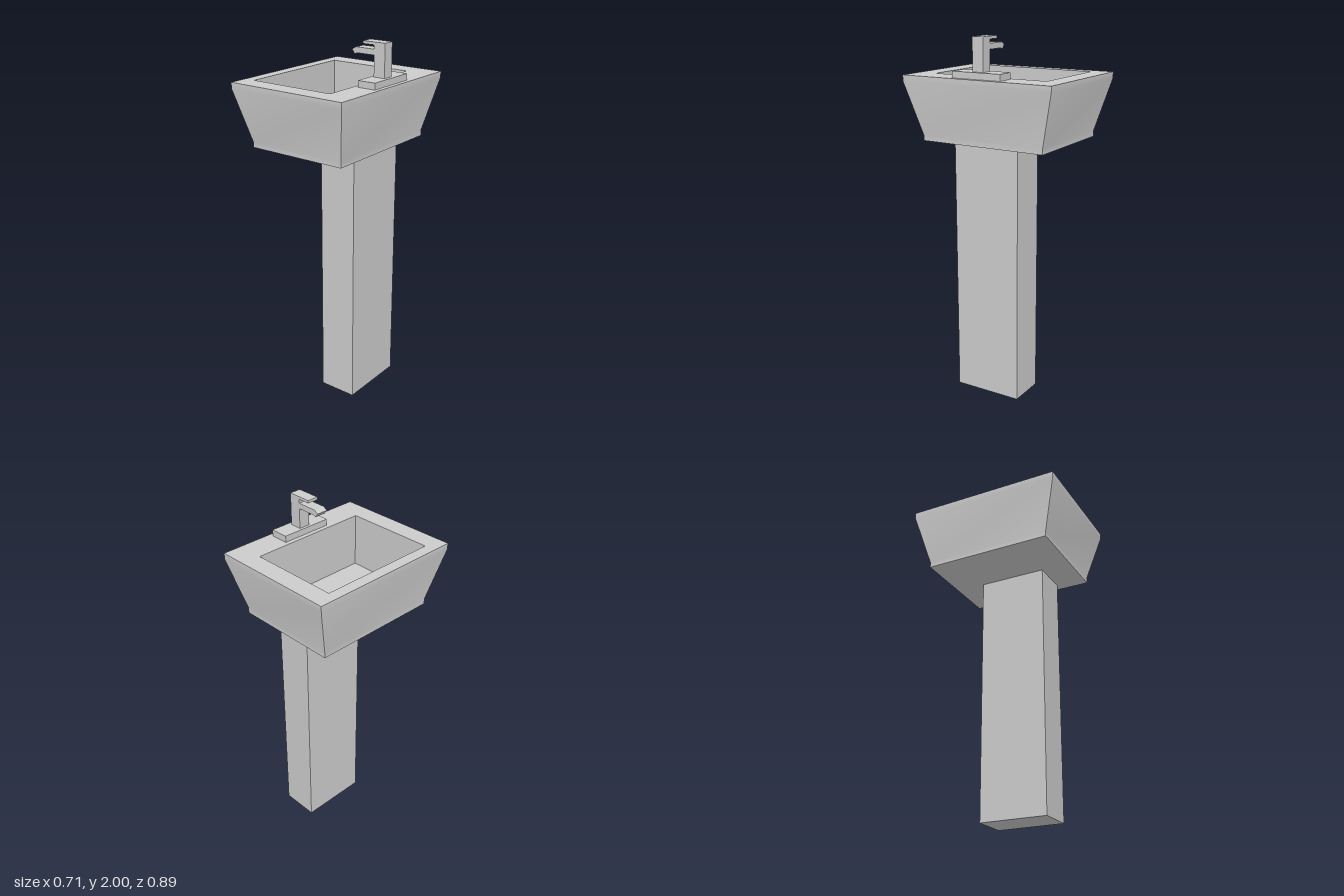
import * as THREE from 'three';
import { toCreasedNormals } from 'three/addons/utils/BufferGeometryUtils.js';

const material = new THREE.MeshStandardMaterial({ color: 0xcccccc });

function addMesh(group, name, geometry) {
  const mesh = new THREE.Mesh(geometry, material);
  mesh.name = name;
  group.add(mesh);
}

// Box given by its limits on each axis
function boxBetween(x0, x1, y0, y1, z0, z1) {
  return new THREE.BoxGeometry(x1 - x0, y1 - y0, z1 - z0)
    .translate((x0 + x1) / 2, (y0 + y1) / 2, (z0 + z1) / 2);
}

// Skin through rectangular rings [y, x0, x1, halfDepth], closed at both ends
function loftRectangles(rings) {
  const positions = [];
  const indices = [];
  for (const [y, x0, x1, d] of rings) {
    positions.push(x0, y, d, x1, y, d, x1, y, -d, x0, y, -d);
  }
  const quad = (a, b, c, d) => indices.push(a, b, c, a, c, d);
  for (let r = 0; r < rings.length - 1; r++) {
    for (let i = 0; i < 4; i++) {
      const a = r * 4 + i;
      const b = r * 4 + (i + 1) % 4;
      quad(a, b, b + 4, a + 4);
    }
  }
  const last = (rings.length - 1) * 4;
  quad(3, 2, 1, 0);
  quad(last, last + 1, last + 2, last + 3);
  const geometry = new THREE.BufferGeometry();
  geometry.setAttribute('position', new THREE.Float32BufferAttribute(positions, 3));
  geometry.setIndex(indices);
  return toCreasedNormals(geometry, 0.6);
}

export function createModel() {
  const model = new THREE.Group();
  model.name = 'pedestalSink';

  addMesh(model, 'pedestal', boxBetween(0.031, 0.245, 0, 1.432, -0.195, 0.195));

  // Outer wall from the underside up, over the rim, then down to the bowl floor
  addMesh(model, 'basin', loftRectangles([
    [1.432, -0.293, 0.293, 0.368],
    [1.463, -0.293, 0.293, 0.368],
    [1.755, -0.357, 0.357, 0.447],
    [1.788, -0.357, 0.357, 0.447],
    [1.788, -0.295, 0.205, 0.34],
    [1.495, -0.295, 0.205, 0.34],
  ]));

  const tap = new THREE.Group();
  tap.name = 'tap';
  model.add(tap);
  addMesh(tap, 'tapBase', boxBetween(0.23, 0.333, 1.788, 1.823, -0.145, 0.145));

  // Post, lever and spout share one side silhouette
  const side = new THREE.Shape([
    [0.246, 1.823], [0.312, 1.823], [0.312, 2], [0.178, 2], [0.178, 1.985],
    [0.246, 1.985], [0.246, 1.964], [0.132, 1.964], [0.108, 1.95],
    [0.124, 1.928], [0.146, 1.934], [0.246, 1.934],
  ].map(([x, y]) => new THREE.Vector2(x, y)));
  const body = new THREE.ExtrudeGeometry(side, { depth: 0.064, bevelEnabled: false });
  addMesh(tap, 'tapBody', body.translate(0, 0, -0.032));

  return model;
}
